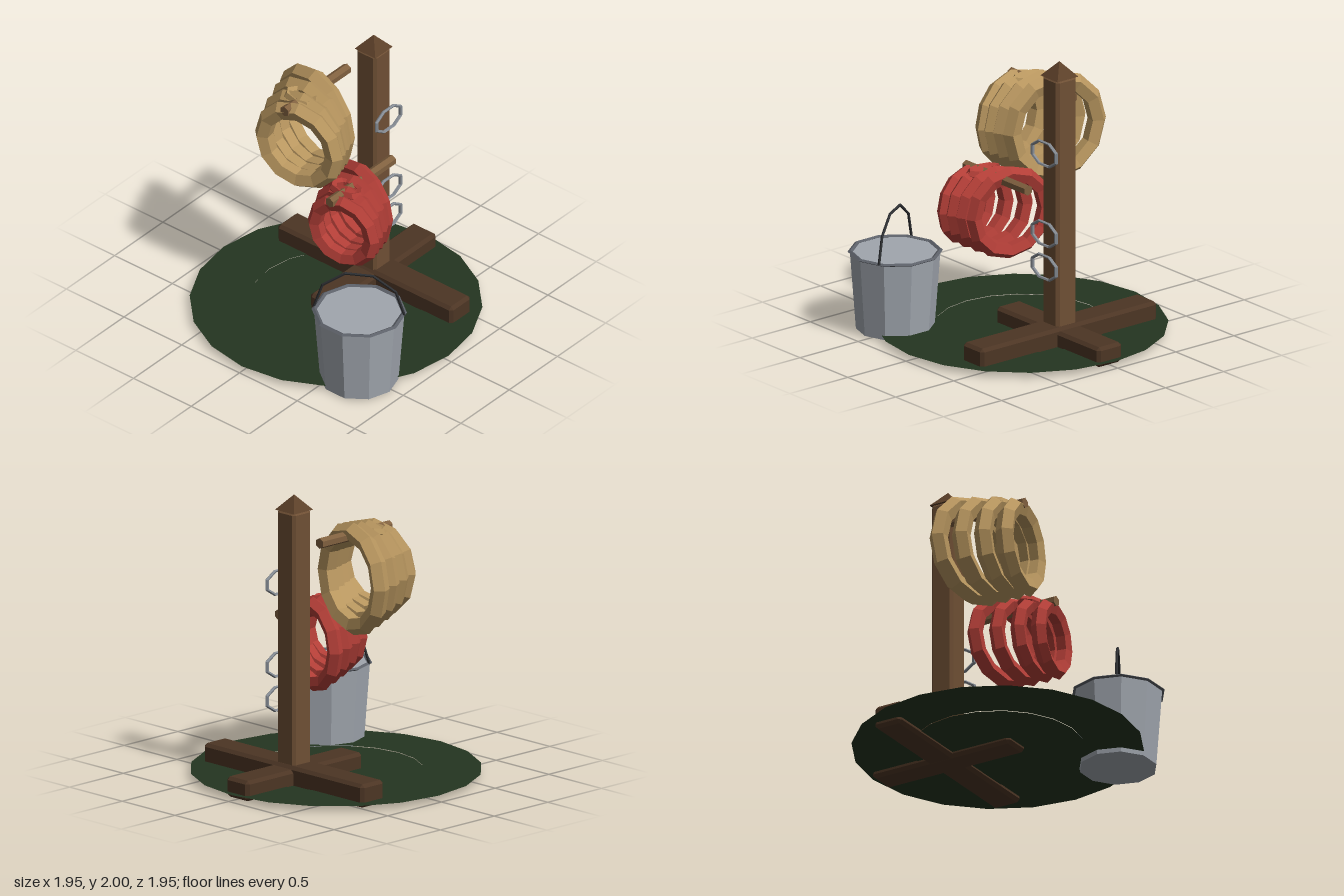
import * as THREE from 'three';
import { ConvexGeometry } from 'three/addons/geometries/ConvexGeometry.js';

const mat = (color, side = THREE.FrontSide) =>
  new THREE.MeshStandardMaterial({ color, flatShading: true, side });
const postWood = mat(0x6e4f34), beamWood = mat(0x4c3524), capWood = mat(0x5c4029), pegWood = mat(0x80603f);
const grass = mat(0x243520, THREE.DoubleSide);
const tanRope = mat(0xb8965f), redRope = mat(0xb23e37);
const bucketMetal = mat(0xa0a6ae), rimMetal = mat(0x5c6068), ringMetal = mat(0x868c94), wire = mat(0x2c2e31);

// Box with chamfered edges, as the hull of three points per corner
function chamferBox(w, h, d, c) {
  const pts = [];
  for (const sx of [-1, 1]) for (const sy of [-1, 1]) for (const sz of [-1, 1]) {
    const x = w / 2, y = h / 2, z = d / 2;
    pts.push(
      new THREE.Vector3(sx * x, sy * (y - c), sz * (z - c)),
      new THREE.Vector3(sx * (x - c), sy * y, sz * (z - c)),
      new THREE.Vector3(sx * (x - c), sy * (y - c), sz * z));
  }
  return new ConvexGeometry(pts);
}

function add(parent, name, geometry, material, x = 0, y = 0, z = 0) {
  const mesh = new THREE.Mesh(geometry, material);
  mesh.name = name;
  mesh.position.set(x, y, z);
  parent.add(mesh);
  return mesh;
}

// Four loose loops fanned out along z, largest at the back, with a small tie on the peg
function ropeCoil(name, material, { backX, y, outer, tube, tieX, tieY }) {
  const coil = new THREE.Group();
  coil.name = name;
  const depths = [-0.06, 0.05, 0.155, 0.25], turns = [-0.2, -0.09, 0.03, 0.17];
  depths.forEach((z, i) => {
    const geometry = new THREE.TorusGeometry(outer - 0.017 * i - tube, tube, 5, 12);
    add(coil, 'ropeLoop', geometry, material, backX + 0.039 * i, y, z).rotation.y = turns[i];
  });
  const tie = new THREE.TorusGeometry(0.11, 0.035, 5, 8).rotateX(Math.PI / 2).scale(1, 1, 0.6);
  add(coil, 'ropeTie', tie, material, tieX, tieY, 0.14);
  return coil;
}

function makeBucket() {
  const bucket = new THREE.Group();
  bucket.name = 'bucket';
  bucket.position.set(0.65, 0, 0.537);
  const body = new THREE.CylinderGeometry(0.302, 0.262, 0.54, 10).rotateY(Math.PI / 2);
  add(bucket, 'bucketBody', body, bucketMetal, 0, 0.28, 0);
  const rim = new THREE.TorusGeometry(0.3, 0.018, 4, 10).rotateX(Math.PI / 2).scale(1, 0.6, 1);
  add(bucket, 'bucketRim', rim, rimMetal, 0, 0.552, 0);
  const handle = new THREE.TorusGeometry(0.305, 0.01, 5, 5, Math.PI);
  add(bucket, 'bucketHandle', handle, wire, 0, 0.555, 0).rotation.y = Math.PI / 6;
  return bucket;
}

export function createModel() {
  const model = new THREE.Group();
  model.name = 'ropeStand';
  const postZ = -0.39;

  // Ground patch: outer ring with a slightly sunken inner disc
  const ring = new THREE.RingGeometry(0.58, 0.975, 20).rotateX(-Math.PI / 2);
  add(model, 'groundRing', ring, grass, 0, 0.04, 0);
  const disc = new THREE.CircleGeometry(0.582, 20).rotateX(-Math.PI / 2);
  add(model, 'groundDisc', disc, grass, 0, 0.035, 0);

  // Crossed feet, post and pointed cap
  add(model, 'sideBeam', chamferBox(1.515, 0.16, 0.21, 0.022), beamWood, 0, 0.082, postZ - 0.005);
  add(model, 'depthBeam', chamferBox(0.21, 0.14, 1.08, 0.022), beamWood, 0, 0.071, -0.387);
  add(model, 'post', chamferBox(0.17, 1.89, 0.17, 0.02), postWood, 0, 0.955, postZ);
  const cap = new THREE.ConeGeometry(0.127, 0.105, 4).rotateY(Math.PI / 4);
  add(model, 'postCap', cap, capWood, 0, 1.9475, postZ);

  // Pegs reaching forward to carry the coils
  for (const [x, y] of [[-0.175, 1.683], [0.215, 1.117]]) {
    const peg = new THREE.CylinderGeometry(0.037, 0.037, 0.65, 6).rotateX(Math.PI / 2);
    add(model, 'peg', peg, pegWood, x, y, 0);
  }

  // Rope coils
  model.add(ropeCoil('tanCoil', tanRope,
    { backX: -0.228, y: 1.4, outer: 0.388, tube: 0.065, tieX: -0.18, tieY: 1.69 }));
  model.add(ropeCoil('redCoil', redRope,
    { backX: 0.158, y: 0.877, outer: 0.325, tube: 0.055, tieX: 0.21, tieY: 1.12 }));

  // Flattened metal rings on the side of the post
  for (const y of [1.375, 0.81, 0.575]) {
    const geometry = new THREE.TorusGeometry(0.134, 0.015, 5, 8)
      .rotateZ(Math.PI / 8).rotateY(Math.PI / 2).scale(0.85, 0.65, 1);
    add(model, 'postRing', geometry, ringMetal, 0.13, y, postZ);
  }

  model.add(makeBucket());
  return model;
}
